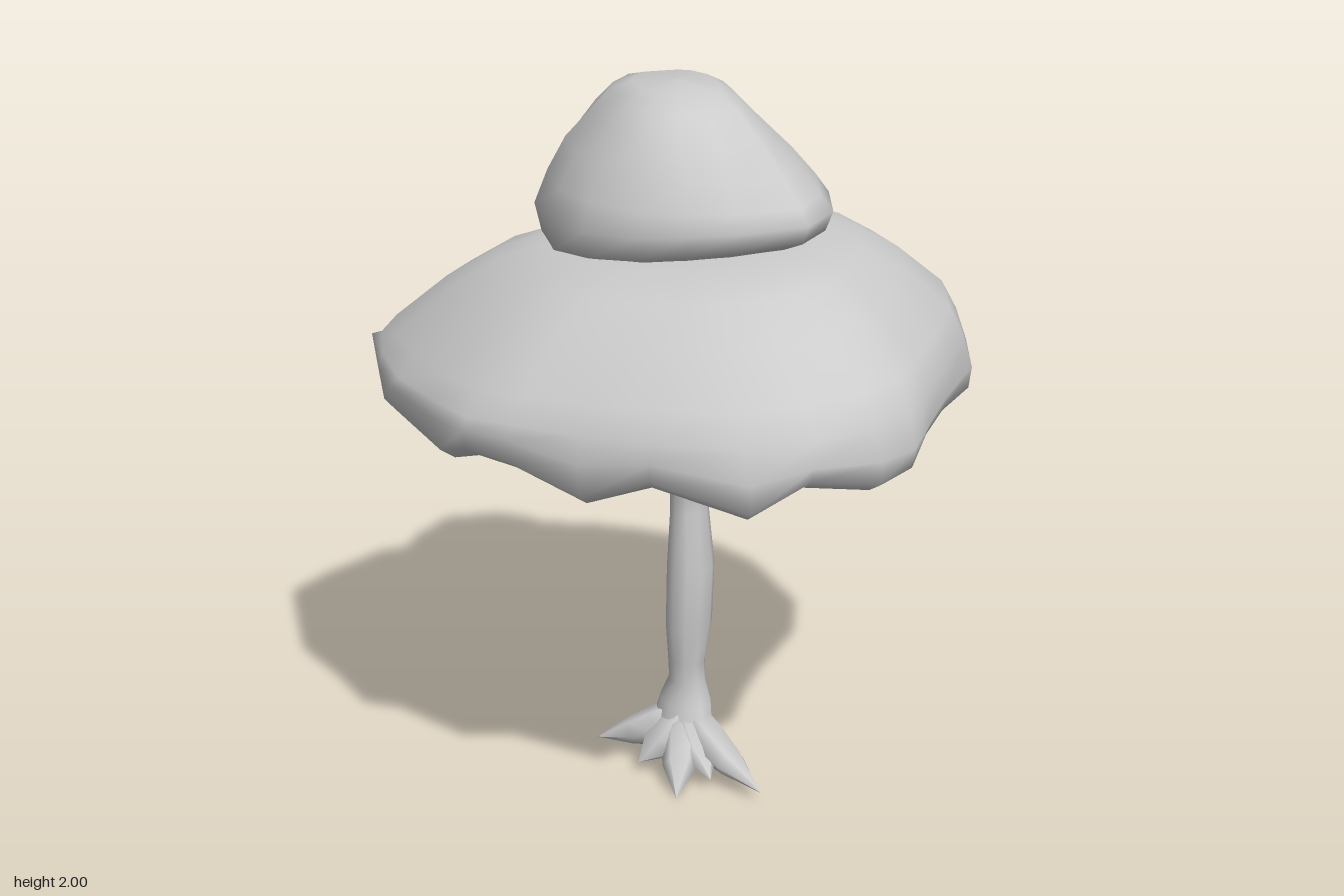
import * as THREE from 'three';

const material = new THREE.MeshStandardMaterial({ color: 0xcccccc });

// Skin a list of equal-length point loops, ordered from the base to the tip
function loft(name, rings) {
  const n = rings[0].length;
  const index = [];
  for (let r = 0; r < rings.length - 1; r++) {
    for (let i = 0; i < n; i++) {
      const a = r * n + i, b = r * n + (i + 1) % n;
      index.push(a, a + n, b, b, a + n, b + n);
    }
  }
  const geometry = new THREE.BufferGeometry().setFromPoints(rings.flat());
  geometry.setIndex(index);
  geometry.computeVertexNormals();
  const mesh = new THREE.Mesh(geometry, material);
  mesh.name = name;
  return mesh;
}

// Wide canopy outline: x, z, height of the scalloped hem
const canopyOutline = [
  [0.78, 0.02, 1.17], [0.765, 0.18, 1.13], [0.64, 0.45, 1.14], [0.45, 0.60, 1.16],
  [0.20, 0.69, 1.19], [0.02, 0.77, 1.20], [-0.12, 0.83, 1.17], [-0.22, 0.81, 1.15],
  [-0.40, 0.73, 1.19], [-0.54, 0.66, 1.13], [-0.62, 0.40, 1.17], [-0.70, 0.24, 1.11],
  [-0.72, 0.00, 1.15], [-0.78, -0.08, 1.18], [-0.71, -0.25, 1.11], [-0.67, -0.47, 1.16],
  [-0.54, -0.65, 1.10], [-0.42, -0.81, 1.16], [-0.31, -0.835, 1.11], [0.00, -0.82, 1.17],
  [0.18, -0.71, 1.10], [0.36, -0.63, 1.13], [0.52, -0.55, 1.10], [0.62, -0.38, 1.17],
  [0.69, -0.20, 1.11],
];

// Outline point i pulled towards the middle of its neighbours by k
function softened(i, k) {
  const n = canopyOutline.length;
  const [x, z] = canopyOutline[i];
  const [ax, az] = canopyOutline[(i + n - 1) % n];
  const [bx, bz] = canopyOutline[(i + 1) % n];
  return [x + k * ((ax + bx) / 2 - x), z + k * ((az + bz) / 2 - z)];
}

function lowerCanopy() {
  // Scale, height, share of the hem height, softening, tilt; from underside to crown
  const levels = [
    [0, 1.22, 0, 1, 0], [0.28, 1.215, 0, 1, 0], [0.45, 1.235, 0, 0.8, 0], [0.65, 1.23, 0.3, 0.6, 0],
    [0.82, 1.18, 0.8, 0.3, 0], [0.93, 1.14, 1, 0, 0], [0.985, 1.17, 1, 0, 0],
    [1, 1.24, 0.4, 0.1, 0], [0.985, 1.3, 0, 0.4, 0.7], [0.935, 1.37, 0, 0.5, 1],
    [0.77, 1.485, 0, 0.6, 1], [0.62, 1.56, 0, 0.7, 1], [0.48, 1.598, 0, 0.8, 1],
    [0.25, 1.61, 0, 1, 1], [0, 1.61, 0, 1, 0],
  ];
  return loft('lowerCanopy', levels.map(([s, y, hem, soft, tilt]) =>
    canopyOutline.map(([, , h], i) => {
      const [x, z] = softened(i, soft);
      return new THREE.Vector3(
        x * s, y + (h - 1.14) * hem + tilt * s * (0.06 * z + 0.03 * x), z * s);
    })));
}

// Small upper canopy outline: x, z
const crownOutline = [
  [0.39, -0.04], [0.36, 0.09], [0.31, 0.21], [0.15, 0.35], [0.00, 0.39], [-0.15, 0.29],
  [-0.24, 0.19], [-0.31, 0.08], [-0.335, -0.08], [-0.30, -0.24], [-0.17, -0.41],
  [-0.06, -0.45], [0.12, -0.44], [0.31, -0.28], [0.36, -0.20],
];

function upperCanopy() {
  const cx = 0.02, cz = -0.04;
  // Scale, height, z shift, tilt, fullness of the two diagonal shoulders
  const levels = [
    [0, 1.57, 0, 0, 0], [0.7, 1.57, 0, 0.1, 0], [0.95, 1.6, 0, 0.12, 0], [1, 1.67, 0, 0.07, 0],
    [0.93, 1.74, 0, 0, 0.03], [0.82, 1.82, -0.01, -0.04, 0.08], [0.66, 1.9, -0.02, -0.05, 0.16],
    [0.5, 1.96, -0.03, -0.04, 0.18], [0.33, 1.99, -0.03, 0, 0.15], [0, 2, -0.03, 0, 0],
  ];
  return loft('upperCanopy', levels.map(([s, y, dz, tilt, full]) =>
    crownOutline.map(([x, z]) => {
      const r = s * (1 - full * Math.sin(2 * Math.atan2(z - cz, x - cx)));
      return new THREE.Vector3(
        cx + (x - cx) * r, y + tilt * (z - cz) * r, cz + dz + (z - cz) * r);
    })));
}

function trunk() {
  const sides = 10;
  // Height, centre x, centre z, radius x, radius z
  const sections = [
    [0.05, -0.02, -0.03, 0, 0], [0.055, -0.02, -0.03, 0.05, 0.09], [0.13, 0.005, -0.04, 0.065, 0.1],
    [0.2, 0.03, -0.05, 0.067, 0.08], [0.27, 0.025, -0.04, 0.05, 0.055], [0.33, 0.022, -0.04, 0.052, 0.053],
    [0.45, 0.025, -0.033, 0.072, 0.06], [0.63, 0.022, -0.024, 0.072, 0.063], [0.8, 0.027, -0.033, 0.058, 0.05],
    [0.9, 0.027, -0.03, 0.06, 0.052], [0.97, 0.027, -0.02, 0.07, 0.075], [1.05, 0.03, -0.01, 0.1, 0.125],
    [1.13, 0.03, -0.01, 0.145, 0.17], [1.18, 0.02, -0.02, 0.2, 0.22], [1.21, 0.02, -0.02, 0.27, 0.28],
    [1.24, 0.02, -0.02, 0.36, 0.37],
  ];
  return loft('trunk', sections.map(([y, cx, cz, rx, rz]) =>
    Array.from({ length: sides }, (_, i) => {
      const a = i / sides * Math.PI * 2;
      return new THREE.Vector3(cx + rx * Math.cos(a), y, cz + rz * Math.sin(a));
    })));
}

// Pointed root from the trunk foot out to a tip
function root(name, tip, width) {
  const base = new THREE.Vector3(0.02, 0.14, -0.04);
  const end = new THREE.Vector3(...tip);
  const along = end.clone().sub(base).normalize();
  const side = new THREE.Vector3(along.z, 0, -along.x).normalize();
  const rise = side.clone().cross(along);
  // Position along the root, share of the width, half height
  const sections = [[0, 0, 0], [0, 0.9, 0.07], [0.3, 1, 0.06], [0.6, 0.85, 0.04], [1, 0, 0]];
  return loft(name, sections.map(([t, w, h]) => Array.from({ length: 6 }, (_, i) => {
    const a = i / 6 * Math.PI * 2;
    return base.clone().lerp(end, t)
      .addScaledVector(side, width * w * Math.cos(a)).addScaledVector(rise, h * Math.sin(a));
  })));
}

export function createModel() {
  const tree = new THREE.Group();
  tree.name = 'tree';
  tree.add(lowerCanopy(), upperCanopy(), trunk());
  tree.add(
    root('sideRoot', [-0.16, 0, 0.08], 0.06),
    root('frontRoot', [-0.02, 0.03, 0.27], 0.055),
    root('backRoot', [-0.11, 0.05, -0.265], 0.06),
    root('backWeb', [-0.13, 0.04, -0.09], 0.08),
    root('frontWeb', [-0.07, 0.04, 0.13], 0.06),
  );
  return tree;
}
